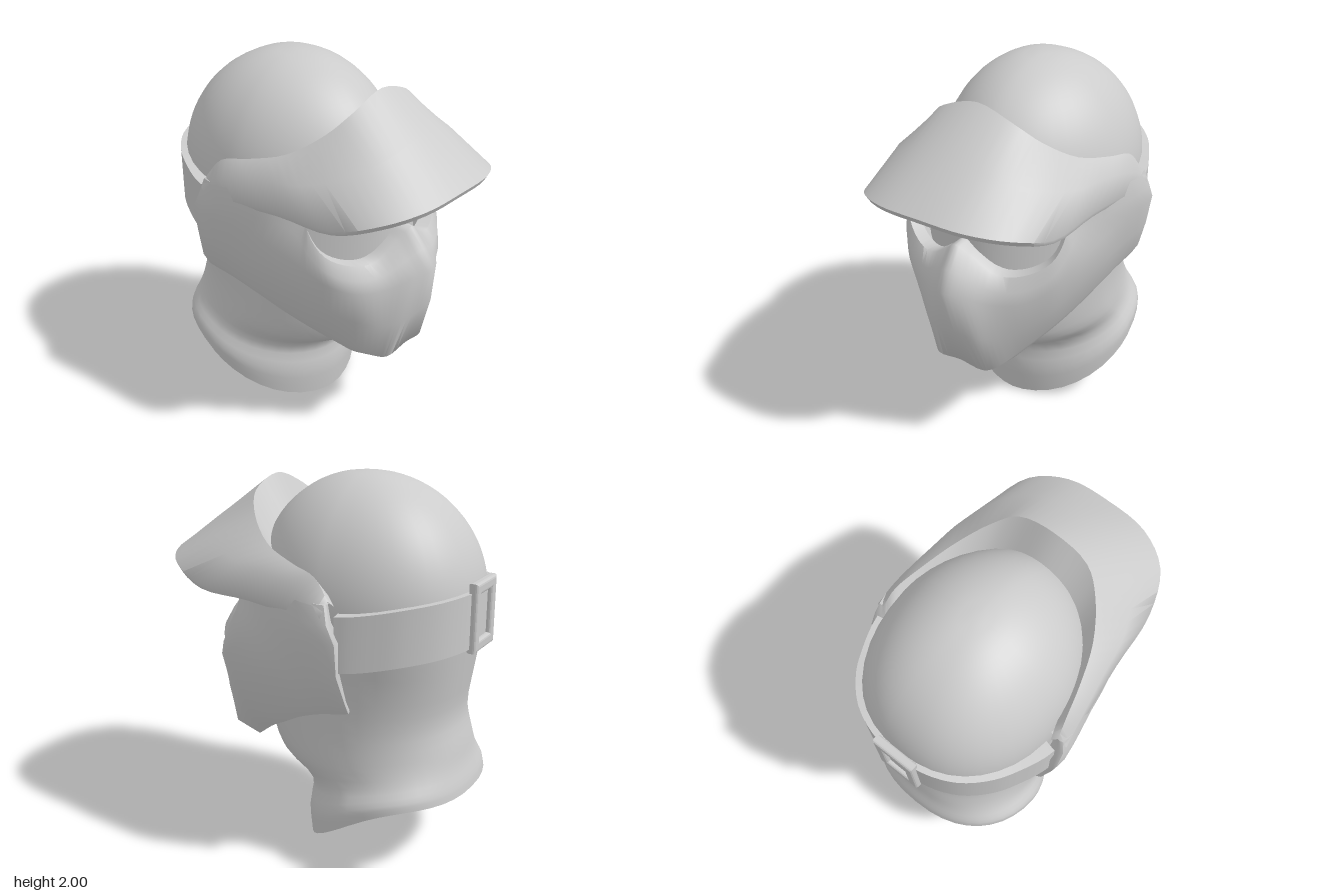
import * as THREE from 'three';
import { mergeVertices, toCreasedNormals } from 'three/addons/utils/BufferGeometryUtils.js';

const material = new THREE.MeshStandardMaterial({ color: 0xcccccc, side: THREE.DoubleSide });
const V = (p) => new THREE.Vector3(...p);

// Smooth curve through key points, sampled n times between each pair
const smooth = (pts, n) => new THREE.CatmullRomCurve3(pts).getPoints((pts.length - 1) * n);

// Half of a rail, from the middle outwards, mirrored to the full width
const mirror = (half) => [
  ...half.slice(1).reverse().map(([x, y, z]) => V([-x, y, z])),
  ...half.map(V),
];

// Surface through rows of points
function skin(rows) {
  const w = rows[0].length, index = [];
  for (let j = 0; j < rows.length - 1; j++) {
    for (let i = 0; i < w - 1; i++) {
      const a = j * w + i, b = a + w;
      index.push(a, b, a + 1, a + 1, b, b + 1);
    }
  }
  let g = new THREE.BufferGeometry().setFromPoints(rows.flat());
  g.setIndex(index);
  g = mergeVertices(g, 1e-4);
  g.computeVertexNormals();
  return g;
}

// Symmetric shell through half sections listed from the middle outwards:
// smooth along the rails, straight between them
const shell = (sections) => toCreasedNormals(
  skin(sections[0].map((_, r) => smooth(mirror(sections.map((s) => s[r])), 4))), 1);

function mesh(name, geometry) {
  const m = new THREE.Mesh(geometry, material);
  m.name = name;
  return m;
}

// Fabric hood: tilted neck rings [frontZ, frontY, backZ, backY, halfWidth, sideLift]
// carried on upwards by an ellipsoid dome
function hood() {
  const rings = [
    [0.07, 0.0, -0.825, 0.41, 0.51, 0.1],
    [0.085, 0.18, -0.815, 0.46, 0.51, 0.06],
    [0.08, 0.35, -0.785, 0.55, 0.46, 0.02],
    [0.29, 0.5, -0.765, 0.65, 0.45, 0],
    [0.37, 0.7, -0.735, 0.8, 0.445, 0],
    [0.4, 1.0, -0.76, 1.0, 0.46, 0],
    [0.42, 1.2, -0.79, 1.2, 0.495, 0],
  ];
  const steps = 7;
  for (let i = 0; i <= steps; i++) {
    const a = (i / steps) * Math.PI / 2, r = Math.cos(a), y = 1.38 + 0.62 * Math.sin(a);
    rings.push([-0.195 + 0.615 * r, y, -0.195 - 0.615 * r, y, 0.51 * r, 0]);
  }
  const rows = [], segments = 40;
  for (let i = 0; i <= segments; i++) {
    const t = ((i % segments) / segments) * Math.PI * 2;
    const c = Math.cos(t), s = Math.sin(t);
    const e = c < 0 ? 0.87 : 1.1; // squarer at the back, narrower at the front
    const cz = Math.sign(c) * Math.abs(c) ** e, sx = Math.sign(s) * Math.abs(s) ** e;
    rows.push(smooth(rings.map(([fz, fy, bz, by, hw, lift]) => {
      const k = (1 - cz) / 2;
      return V([hw * sx, fy + (by - fy) * k + lift * Math.sin(Math.PI * k ** 1.5), fz + (bz - fz) * k]);
    }), 3));
  }
  return mesh('hood', skin(rows));
}

// Face mask: columns [jaw, cheek, upper rim] from the nose round to the rear edge
function faceMask() {
  const columns = [
    [[0, 0.56, 0.58], [0, 1.07, 0.72], [0, 1.27, 0.58]],
    [[0.14, 0.54, 0.57], [0.09, 1.05, 0.68], [0.08, 1.21, 0.55]],
    [[0.19, 0.55, 0.53], [0.2, 1.0, 0.6], [0.2, 1.13, 0.52]],
    [[0.27, 0.62, 0.42], [0.33, 1.0, 0.52], [0.32, 1.14, 0.47]],
    [[0.36, 0.71, 0.28], [0.43, 1.05, 0.42], [0.43, 1.21, 0.39]],
    [[0.42, 0.78, 0.14], [0.485, 1.12, 0.32], [0.46, 1.33, 0.31]],
    [[0.47, 0.85, 0], [0.53, 1.2, 0.18], [0.44, 1.44, 0.28]],
    [[0.51, 0.91, -0.17], [0.565, 1.25, -0.02], [0.53, 1.46, 0.1]],
    [[0.54, 0.96, -0.375], [0.605, 1.28, -0.35], [0.58, 1.46, -0.28]],
    [[0.49, 0.96, -0.35], [0.52, 1.28, -0.33], [0.51, 1.45, -0.26]],
  ];
  const sections = columns.map(([jaw, cheek, rim]) => {
    const [x, y, z] = jaw.map((v, i) => v + (cheek[i] - v) * 0.48);
    const [bx, by, bz] = cheek.map((v, i) => (v + rim[i]) / 2);
    return [
      [jaw[0] * 0.95, jaw[1] - 0.05, jaw[2] - 0.15 * (jaw[2] + 0.38)], // turned under the jaw
      jaw,
      [x * 1.02, y, z + 0.015],
      cheek,
      [bx * 1.015, by, bz + 0.01],
      rim,
      [rim[0] * 0.93, rim[1], rim[2] - 0.15 * Math.max(0, rim[2] - 0.05)], // turned into the eye opening
    ];
  });
  return mesh('faceMask', shell(sections));
}

// Visor: sections [crest, slope, lip, brow] from the middle to the temple
function visor() {
  const keys = [
    [[0, 1.94, 0.365], [0, 1.76, 0.6], [0, 1.555, 0.855], [0, 1.44, 0.5]],
    [[0.2, 1.875, 0.36], [0.22, 1.72, 0.59], [0.24, 1.545, 0.835], [0.2, 1.44, 0.48]],
    [[0.31, 1.78, 0.29], [0.38, 1.66, 0.5], [0.42, 1.51, 0.73], [0.33, 1.44, 0.42]],
    [[0.42, 1.67, 0.14], [0.5, 1.59, 0.3], [0.515, 1.44, 0.52], [0.42, 1.43, 0.31]],
    [[0.49, 1.61, -0.05], [0.54, 1.56, 0.08], [0.545, 1.43, 0.2], [0.48, 1.42, 0.15]],
    [[0.53, 1.57, -0.2], [0.58, 1.5, -0.15], [0.58, 1.4, -0.09], [0.51, 1.39, -0.1]],
    [[0.55, 1.47, -0.285], [0.6, 1.42, -0.28], [0.6, 1.36, -0.25], [0.52, 1.34, -0.24]],
  ];
  const sections = keys.map(([crest, slope, lip, brow]) => {
    const rise = crest[1] - 1.4;
    return [
      [crest[0] * 0.95, 1.4 + 0.6 * rise, crest[2] - 0.25 * rise], // tucked against the hood
      crest,
      slope,
      lip,
      [lip[0] * 0.98, lip[1] - 0.03, lip[2] - 0.015], // thickness of the lip
      [brow[0], brow[1] + 0.13 * (brow[2] + 0.3), brow[2] + 0.03], // hollow under the peak
      brow,
    ];
  });
  return mesh('visor', shell(sections));
}

// Goggle lens: a bowed sheet behind the eye opening
function lens() {
  const g = new THREE.PlaneGeometry(0.88, 0.42, 24, 1);
  const p = g.attributes.position;
  for (let i = 0; i < p.count; i++) {
    p.setXYZ(i, p.getX(i), p.getY(i) + 1.28, 0.5 - 1.5 * p.getX(i) ** 2);
  }
  g.computeVertexNormals();
  return mesh('lens', g);
}

// Strap: a band hugging the back of the hood
function strap() {
  const path = [[0, 1.34, -0.81], [0.15, 1.34, -0.795], [0.3, 1.33, -0.73], [0.42, 1.31, -0.61],
    [0.49, 1.285, -0.48], [0.53, 1.27, -0.38], [0.545, 1.265, -0.32]];
  const corners = [[-0.05, -0.14], [0.02, -0.14], [0.02, 0.14], [-0.05, 0.14], [-0.05, -0.14]];
  const rails = corners.map(([out, up]) => smooth(mirror(path.map(([x, y, z]) => {
    const k = out / Math.hypot(x, z + 0.2);
    return [x * (1 + k), y + up, z + (z + 0.2) * k];
  })), 4));
  return mesh('strap', toCreasedNormals(skin(rails), 0.8));
}

// Buckle: a rectangular frame on the strap
function buckle() {
  const rect = (T, w, h) => new T([[-w, -h], [w, -h], [w, h], [-w, h]].map(([x, y]) => new THREE.Vector2(x, y)));
  const frame = rect(THREE.Shape, 0.105, 0.16);
  frame.holes.push(rect(THREE.Path, 0.08, 0.13));
  const g = new THREE.ExtrudeGeometry(frame, {
    depth: 0.02, bevelThickness: 0.015, bevelSize: 0.015, bevelSegments: 3,
  });
  g.translate(0, 1.355, -0.838);
  return mesh('buckle', g);
}

export function createModel() {
  const group = new THREE.Group();
  group.name = 'maskedHead';
  group.add(hood(), faceMask(), visor(), lens(), strap(), buckle());
  return group;
}
